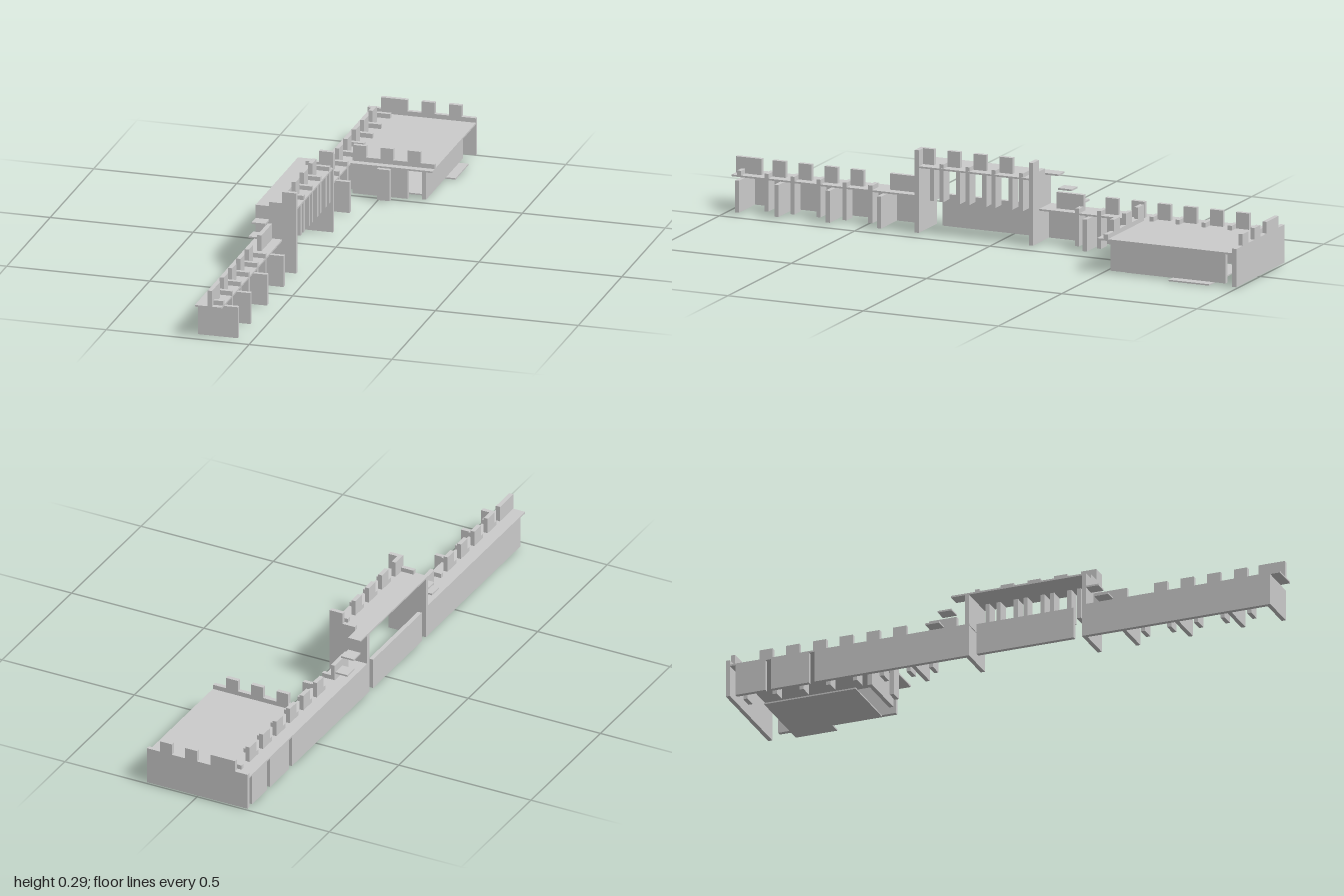
import * as THREE from 'three';

const T = 0.015; // panel thickness
const mat = new THREE.MeshStandardMaterial({ color: 0xcccccc, flatShading: true });

export function createModel() {
  const root = new THREE.Group();

  // box given by its limits on each axis
  const box = (name, x0, x1, y0, y1, z0, z1) => {
    const m = new THREE.Mesh(new THREE.BoxGeometry(x1 - x0, y1 - y0, z1 - z0), mat);
    m.position.set((x0 + x1) / 2, (y0 + y1) / 2, (z0 + z1) / 2);
    m.name = name;
    root.add(m);
  };

  // crenellated panel facing z, cut as a single outline
  const battlement = (name, x0, x1, y0, z, teeth) => {
    const s = new THREE.Shape();
    s.moveTo(x0, y0);
    s.lineTo(x1, y0);
    s.lineTo(x1, 0.137);
    for (const [a, b] of [...teeth].reverse()) {
      s.lineTo(b, 0.137);
      s.lineTo(b, 0.177);
      s.lineTo(a, 0.177);
      s.lineTo(a, 0.137);
    }
    s.lineTo(x0, 0.137);
    const m = new THREE.Mesh(new THREE.ExtrudeGeometry(s, { depth: T, bevelEnabled: false }), mat);
    m.position.z = z;
    m.name = name;
    root.add(m);
  };

  // outer wall segments with narrow gaps
  for (const [a, b] of [[-0.965, -0.857], [-0.836, -0.70], [-0.68, -0.125], [-0.095, 0.256], [0.285, 0.965]])
    box('outerWall', -0.19, -0.175, 0.005, 0.115, a, b);

  // lower walkway
  box('walkway', -0.19, -0.097, 0.115, 0.121, -1, -0.12);
  box('walkway', -0.19, -0.097, 0.115, 0.121, 0.285, 1);

  // lower merlons, each with a rib beside it
  const lower = [];
  for (let i = 0; i < 6; i++) lower.push(-0.414 - i * 0.0966);
  for (let i = 0; i < 4; i++) lower.push(0.527 + i * 0.0963);
  for (const z of lower) {
    box('merlon', -0.145, -0.13, 0.121, 0.177, z, z + 0.048);
    box('rib', -0.145, -0.097, 0.007, 0.137, z + 0.048, z + 0.048 + T);
  }
  for (const z of [-0.955, -0.285, 0.48])
    box('rib', -0.145, -0.097, 0.007, 0.137, z, z + T);
  for (const [a, b] of [[-0.285, -0.185], [0.31, 0.43], [0.905, 1]])
    box('wideMerlon', -0.145, -0.13, 0.121, 0.177, a, b);
  box('endRib', -0.145, -0.097, 0.115, 0.137, 0.965, 0.98);

  // deep buttresses
  for (const z of [-0.335, 0.425, 0.615, 0.805, 0.95])
    box('buttress', -0.19, -0.05, 0.005, 0.115, z, z + T);

  // raised middle: stepped cross panels
  for (const z of [-0.137, 0.285]) {
    const s = new THREE.Shape();
    [[-0.19, 0.005], [-0.048, 0.005], [-0.048, 0.29], [-0.097, 0.29], [-0.097, 0.25],
      [-0.143, 0.25], [-0.143, 0.23], [-0.19, 0.23]].forEach(([x, y], i) => i ? s.lineTo(x, y) : s.moveTo(x, y));
    const m = new THREE.Mesh(new THREE.ExtrudeGeometry(s, { depth: T, bevelEnabled: false }), mat);
    m.position.z = z;
    m.name = 'crossPanel';
    root.add(m);
  }

  // raised deck with its merlons and hanging ribs
  box('upperDeck', -0.19, -0.048, 0.229, 0.235, -0.137, 0.3);
  box('upperDeckEnd', -0.19, -0.143, 0.229, 0.235, -0.187, -0.137);
  for (let i = 0; i < 4; i++) {
    const z = -0.045 + i * 0.0965;
    box('upperMerlon', -0.097, -0.082, 0.235, 0.29, z, z + 0.047);
    if (i < 3) box('upperRib', -0.097, -0.05, 0.12, 0.25, z + 0.047, z + 0.047 + T);
    box('upperRib', -0.097, -0.05, 0.12, 0.235, z - T, z);
  }
  box('upperRib', -0.097, -0.05, 0.12, 0.25, -0.1, -0.085);

  // steps up to the raised deck
  for (const [y, a, b] of [[0.188, 0.3, 0.345], [0.15, 0.33, 0.38], [0.188, -0.235, -0.185], [0.15, -0.28, -0.23]])
    box('step', -0.19, -0.143, y - 0.006, y, a, b);

  // square platform
  box('platform', -0.097, 0.19, 0.115, 0.121, -0.99, -0.485);
  const teeth = [[-0.095, -0.05], [0, 0.045], [0.095, 0.14]];
  battlement('backWall', -0.19, 0.19, 0.005, -1, [[-0.143, -0.05], ...teeth.slice(1)]);
  battlement('frontParapet', -0.097, 0.19, 0.121, -0.525, teeth);
  box('sideWall', 0.142, 0.157, 0.005, 0.115, -0.945, -0.52);

  // front of the platform with a doorway
  box('frontWall', -0.097, 0.095, 0.005, 0.115, -0.525, -0.51);
  box('frontPier', 0, 0.045, 0.005, 0.115, -0.485, -0.47);

  // floor plate with a side tab
  box('floor', -0.095, 0.142, 0, 0.005, -0.9, -0.57);
  box('floorTab', 0.142, 0.19, 0, 0.005, -0.9, -0.75);

  return root;
}
